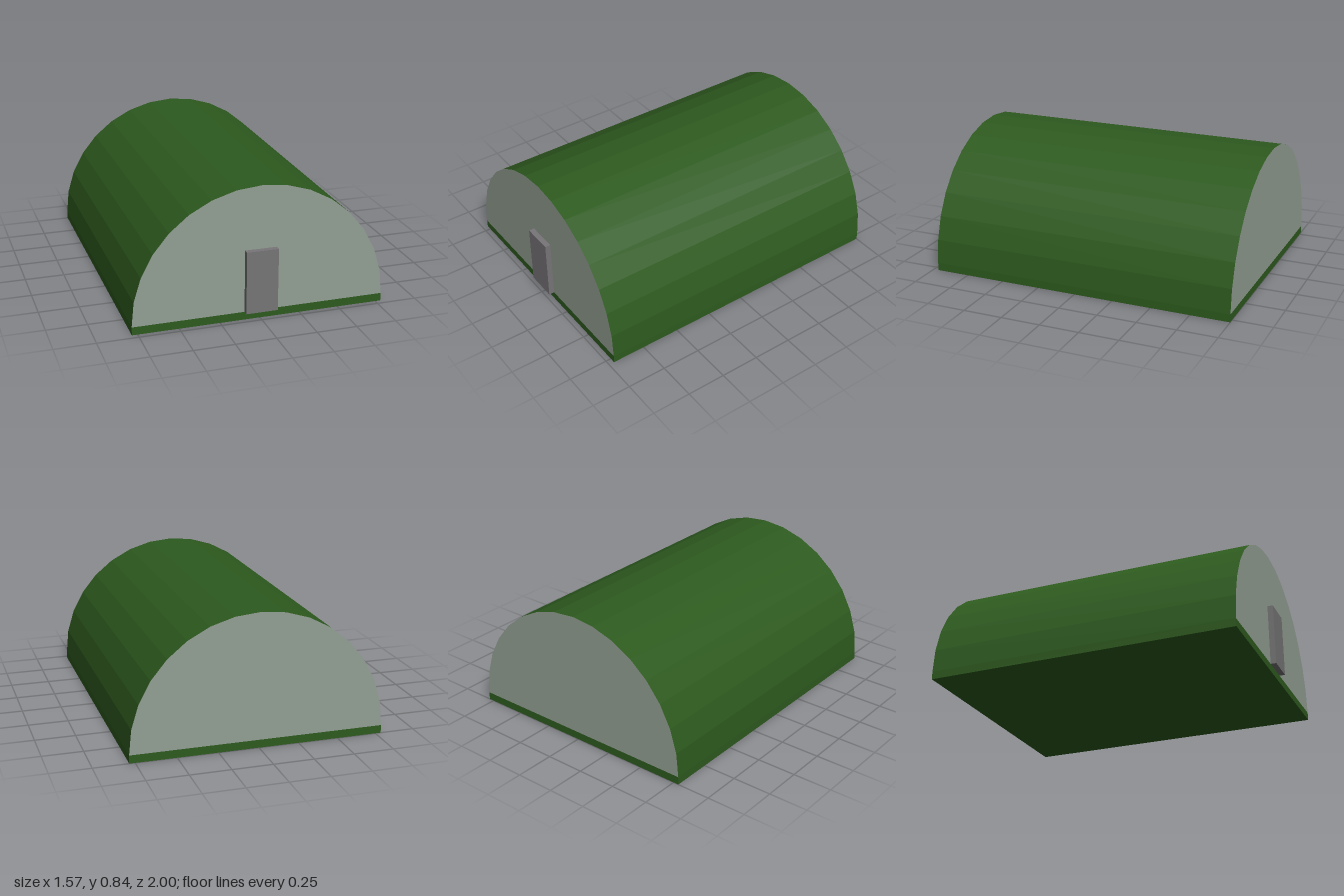
import * as THREE from 'three';

const RADIUS = 0.785, BASE_H = 0.05, BACK = -1, FRONT = 0.965, SIDES = 16;
const LENGTH = FRONT - BACK, MID_Z = (FRONT + BACK) / 2;

export function createModel() {
  const group = new THREE.Group();
  group.name = 'archedHut';

  const green = new THREE.MeshStandardMaterial({ color: 0x2d5a1e, flatShading: true });
  const wall = new THREE.MeshStandardMaterial({ color: 0x929f93 });
  const grey = new THREE.MeshStandardMaterial({ color: 0x777577 });

  const add = (name, geometry, material, x, y, z) => {
    const mesh = new THREE.Mesh(geometry, material);
    mesh.name = name;
    mesh.position.set(x, y, z);
    group.add(mesh);
    return mesh;
  };

  // Floor slab
  add('floorSlab', new THREE.BoxGeometry(RADIUS * 2, BASE_H, LENGTH), green, 0, BASE_H / 2, MID_Z);

  // Faceted half-cylinder roof, lying along z
  const roof = new THREE.CylinderGeometry(RADIUS, RADIUS, LENGTH, SIDES, 1, true, Math.PI / 2, Math.PI);
  roof.rotateX(Math.PI / 2);
  add('archedRoof', roof, green, 0, BASE_H, MID_Z);

  // Half-round end walls
  const end = new THREE.CircleGeometry(RADIUS, SIDES, 0, Math.PI);
  add('frontWall', end, wall, 0, BASE_H, FRONT);
  add('backWall', end, wall, 0, BASE_H, BACK).rotation.y = Math.PI;

  // Door standing proud of the front wall
  const doorH = 0.393, doorD = 1 - FRONT;
  add('door', new THREE.BoxGeometry(0.197, doorH, doorD), grey, 0, BASE_H + doorH / 2, FRONT + doorD / 2);

  return group;
}
